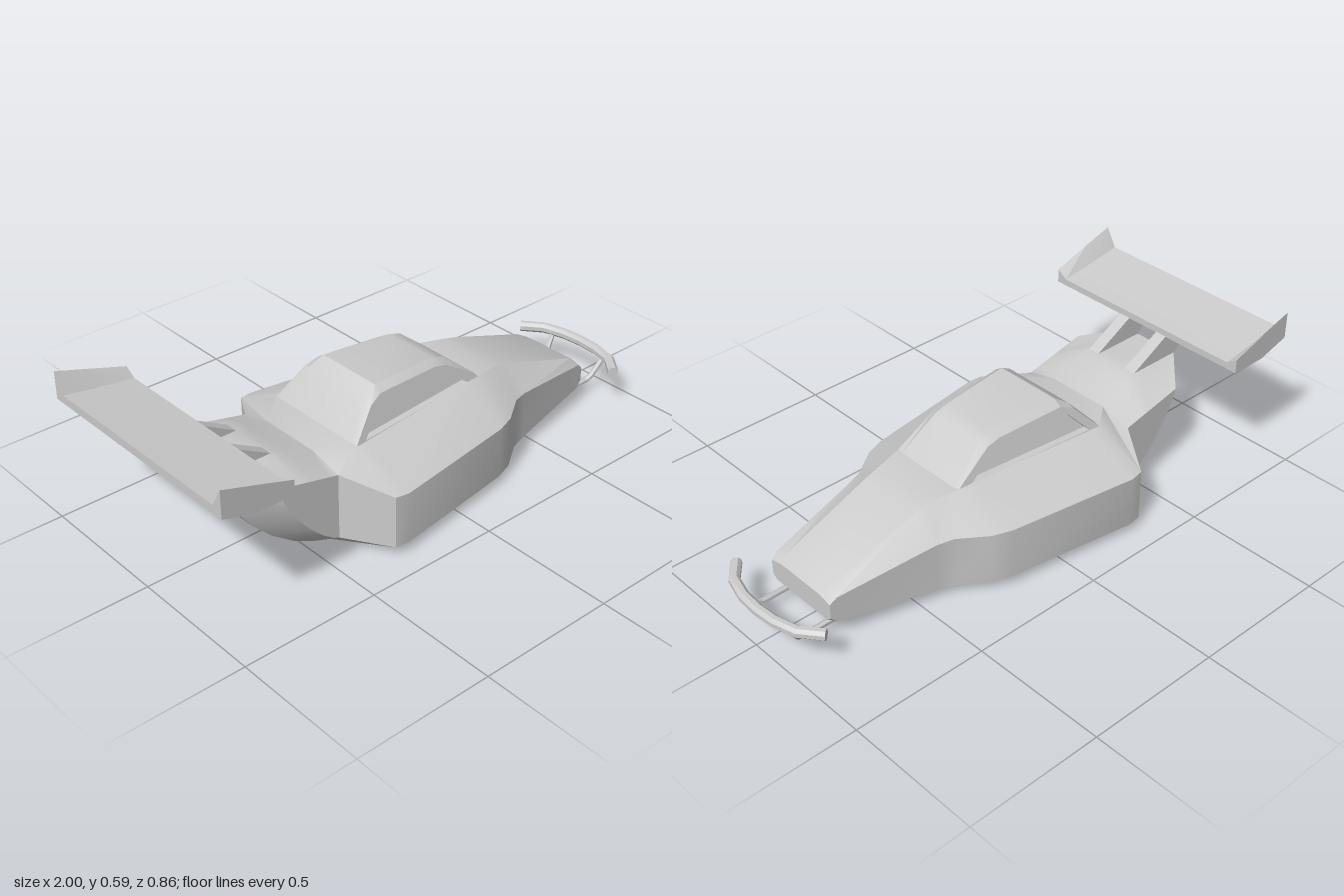
import * as THREE from 'three';
import { toCreasedNormals } from 'three/addons/utils/BufferGeometryUtils.js';

const material = new THREE.MeshStandardMaterial({ color: 0xcccccc });

// Skin closed rings of points, cap both ends, and make the faces point outwards.
function loft(rings, crease = 0.5) {
  const n = rings[0].length;
  const pos = rings.flat(2);
  const index = [];
  for (let r = 0; r < rings.length - 1; r++) {
    for (let i = 0; i < n; i++) {
      const a = r * n + i, b = r * n + (i + 1) % n;
      index.push(a, b, b + n, a, b + n, a + n);
    }
  }
  const cap = (start, flip) => {
    const ring = rings[start / n];
    const c = pos.length / 3;
    for (let k = 0; k < 3; k++) pos.push(ring.reduce((s, p) => s + p[k], 0) / n);
    for (let i = 0; i < n; i++) {
      const a = start + i, b = start + (i + 1) % n;
      index.push(...(flip ? [c, b, a] : [c, a, b]));
    }
  };
  cap(0, true);
  cap((rings.length - 1) * n, false);
  const v = (i) => new THREE.Vector3().fromArray(pos, i * 3);
  let volume = 0;
  for (let i = 0; i < index.length; i += 3) {
    volume += v(index[i]).dot(v(index[i + 1]).cross(v(index[i + 2])));
  }
  if (volume < 0) index.reverse();
  const g = new THREE.BufferGeometry();
  g.setAttribute('position', new THREE.Float32BufferAttribute(pos, 3));
  g.setIndex(index);
  return toCreasedNormals(g, crease);
}

const mirrorZ = ([x, y, z]) => [x, y, -z];

// Round bar swept along a path.
function bar(path, radius, sides = 8) {
  const pts = path.map((p) => new THREE.Vector3(...p));
  const rings = pts.map((p, i) => {
    const t = pts[Math.min(i + 1, pts.length - 1)].clone().sub(pts[Math.max(i - 1, 0)]).normalize();
    const side = new THREE.Vector3(0, 1, 0).cross(t).normalize();
    const up = t.clone().cross(side);
    return Array.from({ length: sides }, (_, k) => {
      const a = ((k + 0.5) / sides) * Math.PI * 2;
      return p.clone().addScaledVector(side, Math.cos(a) * radius)
        .addScaledVector(up, Math.sin(a) * radius).toArray();
    });
  });
  return loft(rings, 0.4);
}

export function createModel() {
  const model = new THREE.Group();
  const add = (name, geometry) => {
    const mesh = new THREE.Mesh(geometry, material);
    mesh.name = name;
    model.add(mesh);
  };

  // Body, nose to rear of the side pods: x, deck y and z, shoulder y, half width, sill y, floor y and z
  const body = [
    [0.815, 0.163, 0.10, 0.15, 0.15, 0.095, 0.08, 0.13],
    [0.79, 0.18, 0.11, 0.17, 0.155, 0.073, 0.066, 0.13],
    [0.44, 0.301, 0.125, 0.224, 0.222, 0.04, 0.004, 0.15],
    [0.38, 0.314, 0.13, 0.228, 0.24, 0.037, 0, 0.16],
    [0.28, 0.325, 0.15, 0.228, 0.31, 0.037, 0, 0.19],
    [0.21, 0.325, 0.16, 0.228, 0.335, 0.037, 0, 0.2],
    [-0.27, 0.325, 0.195, 0.228, 0.407, 0.037, 0, 0.2],
    [-0.32, 0.325, 0.2, 0.23, 0.4, 0.037, 0, 0.2],
  ].map(([x, deckY, deckZ, shoulderY, width, sillY, floorY, floorZ]) => [
    [x, deckY, deckZ], [x, shoulderY, width], [x, sillY, width], [x, floorY, floorZ],
  ]);
  // Tail: the deck climbs to a flat top while the sill and floor sweep up in curves
  const steps = 7;
  for (let i = 0; i <= steps; i++) {
    const t = i / steps;
    const sin = Math.sin(t * Math.PI / 2), cos = Math.cos(t * Math.PI / 2);
    body.push([
      [-0.42 - 0.37 * t, Math.min(0.37, 0.31 + 0.14 * t), 0.12 - 0.01 * t],
      [-0.42 - 0.24 * t, 0.28 + 0.055 * t, 0.24],
      [-0.42 - 0.235 * sin ** 1.5, 0.325 - 0.288 * cos ** 1.5, 0.24],
      [-0.42 - 0.365 * sin ** 1.25, 0.355 - 0.355 * cos ** 1.25, 0.18 - 0.07 * t],
    ]);
  }
  add('body', loft(body.map((s) => [...s, ...s.map(mirrorZ).reverse()])));

  // Cabin: roof and screens between two sides with recessed windows
  const outline = [[-0.32, 0.32], [-0.22, 0.43], [-0.17, 0.462], [0.10, 0.447], [0.15, 0.432], [0.29, 0.32]];
  const frame = [[-0.315, 0.32], [-0.22, 0.42], [-0.17, 0.442], [0.09, 0.43], [0.14, 0.417], [0.285, 0.32]];
  const opening = [[-0.27, 0.325], [-0.195, 0.405], [-0.16, 0.422], [0.08, 0.412], [0.115, 0.403], [0.225, 0.325]];
  const sideRing = (points, inset) => points.map(([x, y]) => {
    const t = (x + 0.32) / 0.61;
    const h = (y - 0.325) / 0.12;
    return [x, y, 0.205 - 0.055 * t - 0.035 * h - inset];
  });
  const half = [
    sideRing(opening, 0.025), sideRing(opening, 0), sideRing(frame, 0), sideRing(outline, 0.024),
  ];
  add('cabin', loft([...half, ...half.map((r) => r.map(mirrorZ)).reverse()], 0.4));

  // Rear wing: x, underside, top surface, end plate top
  const wing = [[-1, 0.49, 0.52, 0.59], [-0.88, 0.455, 0.5, 0.552], [-0.74, 0.455, 0.48, 0.507]];
  add('wing', loft(wing.map(([x, low, top]) => [
    [x, low, -0.43], [x, low, 0.43], [x, top, 0.39], [x, top, -0.39],
  ]), 0.2));

  // The model faces +z, so its left and right parts along z are named near and far
  for (const s of [1, -1]) {
    const side = s > 0 ? 'near' : 'far';
    add(`${side}EndPlate`, loft(wing.map(([x, low, top, tip]) => [
      [x, low, 0.43 * s], [x, tip, 0.43 * s], [x, top, 0.39 * s],
    ]), 0.2));

    // Wing struts
    const strut = [[-0.575, 0.365], [-0.74, 0.457], [-0.88, 0.457], [-0.785, 0.36]];
    add(`${side}WingStrut`, loft([0.065, 0.11].map((z) => strut.map(([x, y]) => [x, y, z * s])), 0.2));

    // Bumper brackets
    add(`${side}BumperBracket`, bar([
      [0.6, 0.05, 0.11 * s], [0.89, 0.047, 0.11 * s], [0.915, 0.06, 0.115 * s], [0.965, 0.13, 0.13 * s],
    ], 0.011, 6));
  }

  // Front bumper
  const bend = [[0.975, 0.08], [0.952, 0.165], [0.895, 0.235]];
  add('bumper', bar([
    ...bend.map(([x, z]) => [x, 0.135, -z]).reverse(),
    [0.981, 0.135, 0],
    ...bend.map(([x, z]) => [x, 0.135, z]),
  ], 0.02));

  return model;
}
